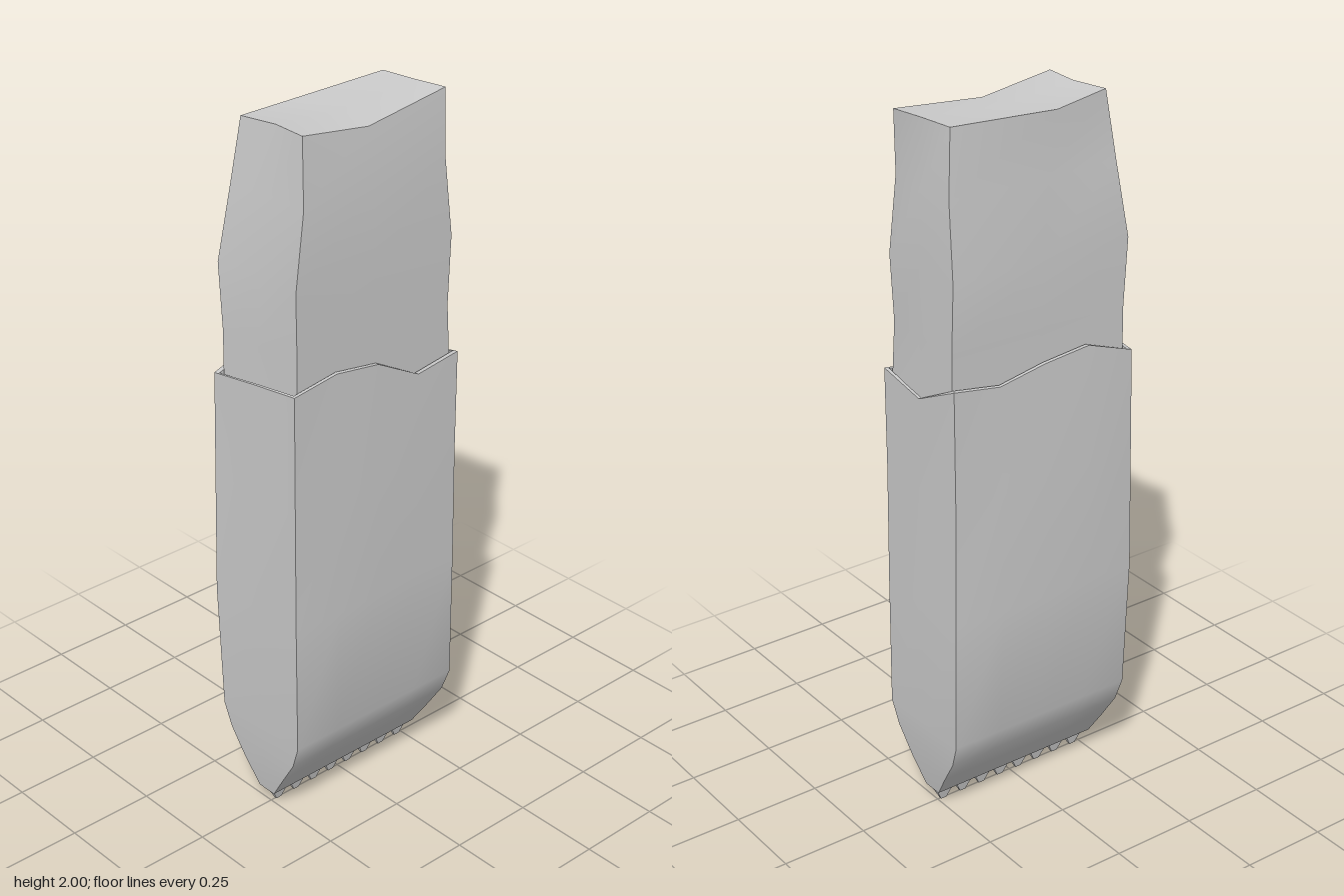
import * as THREE from 'three';
import { toCreasedNormals } from 'three/addons/utils/BufferGeometryUtils.js';

const grey = () => new THREE.MeshStandardMaterial({ color: 0xcccccc, side: THREE.DoubleSide });

// Skin a stack of rings (bottom to top, each counter-clockwise from above),
// optionally closed at either end by a fan around a centre point.
function loft(rings, bottom, top) {
  const pos = [];
  const n = rings[0].length;
  const tri = (...pts) => pts.forEach((p) => pos.push(...p));
  for (let r = 0; r < rings.length - 1; r++) {
    for (let i = 0; i < n; i++) {
      const j = (i + 1) % n;
      const a = rings[r][i], b = rings[r][j], c = rings[r + 1][j], d = rings[r + 1][i];
      tri(a, b, c);
      tri(a, c, d);
    }
  }
  const last = rings[rings.length - 1];
  for (let i = 0; i < n; i++) {
    const j = (i + 1) % n;
    if (bottom) tri(rings[0][j], rings[0][i], bottom);
    if (top) tri(last[i], last[j], top);
  }
  const g = new THREE.BufferGeometry();
  g.setAttribute('position', new THREE.Float32BufferAttribute(pos, 3));
  return toCreasedNormals(g, 0.7);
}

// Rectangle with four segments on the wide faces and two on the narrow ones.
// y may be a number or one height per point; bulge swells the wide faces.
function wrapperRing(y, xl, xr, z, bulge = 0, backLeft = xl, sideBulge = 0) {
  const pts = [];
  const swell = [0, 1, 1, 0.5, 0];
  for (let i = 0; i < 4; i++) pts.push([xl + (xr - xl) * i / 4, z + bulge * swell[i]]);
  pts.push([xr, z], [xr + sideBulge, 0]);
  for (let i = 0; i < 4; i++) pts.push([xr + (backLeft - xr) * i / 4, -z - bulge * 1.3 * (i ? 1 : 0)]);
  pts.push([backLeft, -z], [xl, 0]);
  return pts.map(([x, zz], i) => [x, Array.isArray(y) ? y[i] : y, zz]);
}

function makeWrapper() {
  // torn rim heights: front, left side, back, right side
  const rim = [1.34, 1.36, 1.34, 1.265, 1.285, 1.255, 1.33, 1.307, 1.333, 1.347, 1.297, 1.32];
  const rings = [
    wrapperRing(0.045, -0.265, 0.268, 0.03),
    wrapperRing(0.12, -0.275, 0.28, 0.079),
    wrapperRing(0.2, -0.28, 0.288, 0.13),
    wrapperRing(0.27, -0.284, 0.293, 0.155),
    wrapperRing(0.65, -0.287, 0.29, 0.157, 0.009, -0.298, 0.004),
    wrapperRing(1.0, -0.286, 0.286, 0.157, 0.006, -0.291, 0.003),
    wrapperRing(rim, -0.285, 0.287, 0.157),
    // thickness of the sheet and its inner wall
    wrapperRing(rim, -0.277, 0.279, 0.146),
    wrapperRing(1.15, -0.277, 0.279, 0.146),
  ];
  return loft(rings, [0, 0.045, 0]);
}

function makeBar() {
  // each row: y, then [x, z] of front right, front, front left, left,
  // back left, back, back right, right as seen around the section
  const rows = [
    [1.15, [-0.268, 0.143], [0, 0.143], [0.282, 0.138], [0.28, 0], [0.28, -0.138], [0, -0.142], [-0.27, -0.138], [-0.27, 0]],
    [1.42, [-0.263, 0.143], [0, 0.143], [0.267, 0.135], [0.277, 0], [0.277, -0.135], [0, -0.139], [-0.27, -0.136], [-0.262, 0]],
    [1.61, [-0.266, 0.144], [0, 0.142], [0.28, 0.13], [0.277, 0], [0.275, -0.141], [0, -0.146], [-0.277, -0.141], [-0.257, 0]],
    [1.82, [-0.237, 0.142], [0, 0.136], [0.262, 0.12], [0.27, 0], [0.268, -0.118], [-0.03, -0.126], [-0.252, -0.115], [-0.235, 0.01]],
    [2.0, [-0.219, 0.119], [0, 0.114], [0.281, 0.095], [0.265, 0], [0.253, -0.105], [-0.06, -0.12], [-0.235, -0.09], [-0.212, 0.015]],
  ];
  const rings = rows.map(([y, ...pts]) => pts.map(([x, z]) => [x, y, z]));
  // dipped top edges of the wide faces
  const top = rings[rings.length - 1];
  top[1][1] = 1.97;
  top[5][1] = 1.988;
  return loft(rings, [0, 1.15, 0], [0.01, 1.98, 0]);
}

export function createModel() {
  const group = new THREE.Group();
  const add = (name, geometry, parent = group) => {
    const mesh = new THREE.Mesh(geometry, grey());
    mesh.name = name;
    parent.add(mesh);
    return mesh;
  };

  add('wrapper', makeWrapper());
  add('bar', makeBar());

  // saw-tooth crimp along the bottom seam
  const teeth = new THREE.Group();
  teeth.name = 'crimpTeeth';
  group.add(teeth);
  const square = (y, hx, hz) => [[-hx, y, hz], [hx, y, hz], [hx, y, -hz], [-hx, y, -hz]];
  const tooth = loft([square(0, 0.009, 0.004), square(0.046, 0.032, 0.014)], [0, 0, 0], [0, 0.046, 0]);
  for (let i = 0; i < 8; i++) add('tooth', tooth, teeth).position.x = -0.225 + i * 0.0653;

  return group;
}
